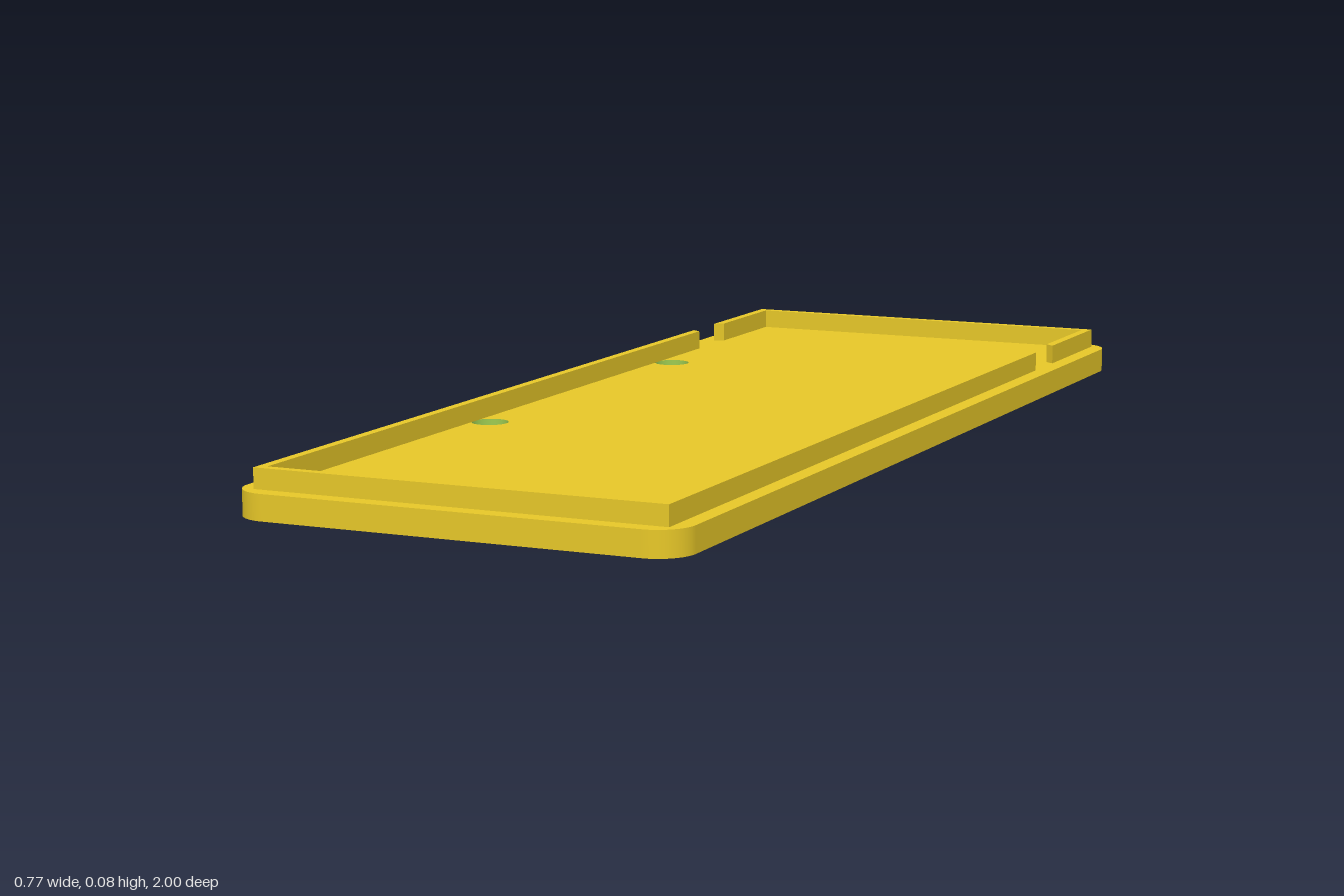
import * as THREE from 'three';

const PLATE = { x: 0.383, z: 1, h: 0.043, r: 0.06 };
const RIM = { x: 0.354, z: 0.97, t: 0.016, top: 0.077 };
const HOLES = [[-0.31, -0.445], [0.31, -0.445], [-0.31, 0.285], [0.31, 0.285]];
const HOLE_R = 0.032, SINK_R = 0.058, SINK_TOP = 0.032;

// Rounded plate outline with round holes; sign maps model z to shape y
function plateShape(holeR, sign) {
  const { x, z, r } = PLATE;
  const s = new THREE.Shape();
  s.absarc(x - r, z - r, r, 0, Math.PI / 2);
  s.absarc(-x + r, z - r, r, Math.PI / 2, Math.PI);
  s.absarc(-x + r, -z + r, r, Math.PI, Math.PI * 1.5);
  s.absarc(x - r, -z + r, r, Math.PI * 1.5, Math.PI * 2);
  s.closePath();
  if (holeR) {
    for (const [hx, hz] of HOLES) {
      s.holes.push(new THREE.Path().absarc(hx, sign * hz, holeR, 0, Math.PI * 2, true));
    }
  }
  return s;
}

// Extrude upwards from the ground plane (shape y becomes -z)
function extrudeUp(shape, depth) {
  return new THREE.ExtrudeGeometry(shape, { depth, bevelEnabled: false, curveSegments: 16 })
    .rotateX(-Math.PI / 2);
}

// Keep only the side walls of an extrusion
function wallsOnly(geo) {
  const { start, count } = geo.groups[1];
  const out = new THREE.BufferGeometry();
  for (const key of ['position', 'normal']) {
    const part = geo.attributes[key].array.slice(start * 3, (start + count) * 3);
    out.setAttribute(key, new THREE.BufferAttribute(part, 3));
  }
  return out;
}

// U-shaped rim section: closed at endZ, open arms stopping at the gap
function rimShape(endZ, outerGapZ, innerGapZ) {
  const xi = RIM.x - RIM.t;
  const zi = endZ - Math.sign(endZ) * RIM.t;
  const half = [[RIM.x, endZ], [RIM.x, outerGapZ], [xi, innerGapZ], [xi, zi]];
  const mirrored = half.map(([x, z]) => [-x, z]).reverse();
  return new THREE.Shape([...half, ...mirrored].map(([x, z]) => new THREE.Vector2(x, -z)));
}

export function createModel() {
  const model = new THREE.Group();
  model.name = 'coverPlate';
  const yellow = new THREE.MeshStandardMaterial({ color: 0xf9d72c });
  yellow.name = 'yellow';
  const green = new THREE.MeshStandardMaterial({ color: 0x9dcb51, side: THREE.DoubleSide });
  green.name = 'green';

  const add = (name, geo, mat) => {
    const mesh = new THREE.Mesh(geo, mat);
    mesh.name = name;
    model.add(mesh);
  };

  // Base plate: side wall, pierced top and wider-pierced underside
  add('plateEdge', wallsOnly(extrudeUp(plateShape(0, 1), PLATE.h)), yellow);
  add('plateTop', new THREE.ShapeGeometry(plateShape(HOLE_R, -1), 16)
    .rotateX(-Math.PI / 2).translate(0, PLATE.h, 0), yellow);
  add('plateUnderside', new THREE.ShapeGeometry(plateShape(SINK_R, 1), 16)
    .rotateX(Math.PI / 2), yellow);

  // Raised rim in two sections, with bevelled ends at the side gaps
  const rimH = RIM.top - PLATE.h;
  add('frontRim', extrudeUp(rimShape(RIM.z, -0.64, -0.63), rimH).translate(0, PLATE.h, 0), yellow);
  add('backRim', extrudeUp(rimShape(-RIM.z, -0.735, -0.747), rimH).translate(0, PLATE.h, 0), yellow);

  // Countersunk screw holes: cone below, short straight bore above
  const boreH = PLATE.h - SINK_TOP;
  for (const [x, z] of HOLES) {
    add('countersink', new THREE.CylinderGeometry(HOLE_R, SINK_R, SINK_TOP, 32, 1, true)
      .translate(x, SINK_TOP / 2, z), green);
    add('screwBore', new THREE.CylinderGeometry(HOLE_R, HOLE_R, boreH, 32, 1, true)
      .translate(x, SINK_TOP + boreH / 2, z), green);
  }
  return model;
}
